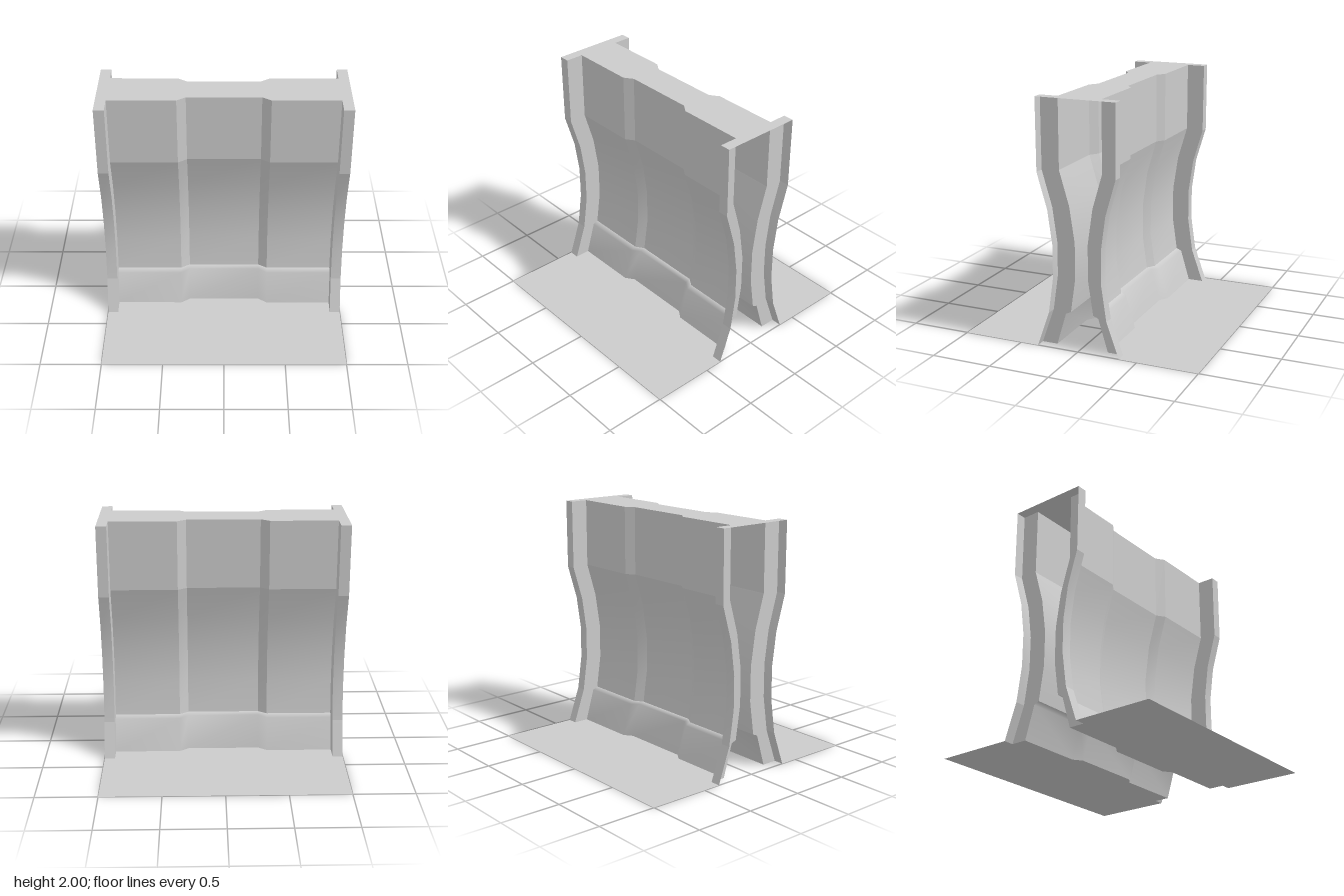
import * as THREE from 'three';

const material = new THREE.MeshStandardMaterial({ color: 0xcccccc, side: THREE.DoubleSide });

// Vertical profiles [z, y], top to bottom, with matching rows
const flange = [[0.33, 2], [0.328, 1.42], [0.243, 1.13], [0.205, 0.855], [0.205, 0.58], [0.247, 0.29], [0.256, 0.265], [0.35, 0]];
const side = [[0.18, 2], [0.18, 1.43], [0.098, 1.15], [0.055, 0.86], [0.055, 0.57], [0.096, 0.288], [0.14, 0.268], [0.22, 0]];
const centre = [[0.13, 2], [0.13, 1.43], [0.05, 1.15], [0.01, 0.86], [0.01, 0.57], [0.05, 0.288], [0.095, 0.275], [0.17, 0]];

// Plan of the wall from -x to +x: each column has an x and a profile
const half = [[-1, flange], [-0.915, flange], [-0.915, side], [-0.37, side], [-0.298, centre]];
const columns = [...half, ...half.map(([x, p]) => [-x, p]).reverse()];

// Smooth sheet over a range of columns and rows
function sheet(name, c0, c1, r0, r1) {
  const positions = [], index = [];
  const w = c1 - c0 + 1;
  for (let r = r0; r <= r1; r++) {
    for (let c = c0; c <= c1; c++) {
      const [x, profile] = columns[c];
      positions.push(x, profile[r][1], profile[r][0]);
      if (r < r1 && c < c1) {
        const a = (r - r0) * w + c - c0;
        index.push(a, a + w, a + 1, a + 1, a + w, a + w + 1);
      }
    }
  }
  const geometry = new THREE.BufferGeometry();
  geometry.setAttribute('position', new THREE.Float32BufferAttribute(positions, 3));
  geometry.setIndex(index);
  geometry.computeVertexNormals();
  const mesh = new THREE.Mesh(geometry, material);
  mesh.name = name;
  return mesh;
}

// Flat plate from an outline of [x, z] points
function plate(name, outline, y) {
  const shape = new THREE.Shape(outline.map(([x, z]) => new THREE.Vector2(x, -z)));
  const mesh = new THREE.Mesh(new THREE.ShapeGeometry(shape).rotateX(-Math.PI / 2), material);
  mesh.position.y = y;
  mesh.name = name;
  return mesh;
}

const edgeAt = (row) => columns.map(([x, profile]) => [x, profile[row][0]]);

// One wall with its floor plate
function wallSide(name) {
  const group = new THREE.Group();
  group.name = name;
  const names = ['edgeFlange', 'flangeReturn', 'sidePanel', 'recessSlope', 'centrePanel',
    'recessSlope', 'sidePanel', 'flangeReturn', 'edgeFlange'];
  names.forEach((part, c) => {
    group.add(sheet(part + 'Upper', c, c + 1, 0, 1));
    group.add(sheet(part + 'Curved', c, c + 1, 1, 5));
    // The panels share one flared skirt below the ledge
    if (c < 2 || c > 6) group.add(sheet(part + 'Foot', c, c + 1, 5, 7));
  });
  group.add(sheet('flaredSkirt', 2, 7, 5, 7));
  group.add(plate('floorPlate', [...edgeAt(7), [1, 1], [-1, 1]], 0));
  return group;
}

export function createModel() {
  const model = new THREE.Group();
  model.name = 'wallSection';
  const front = wallSide('frontWall');
  const back = wallSide('backWall');
  back.rotation.y = Math.PI;
  // Top plate spans both wall edges
  const rim = edgeAt(0);
  const top = plate('topPlate', [...rim, ...rim.map(([x, z]) => [-x, -z])], 2);
  model.add(front, back, top);
  return model;
}
